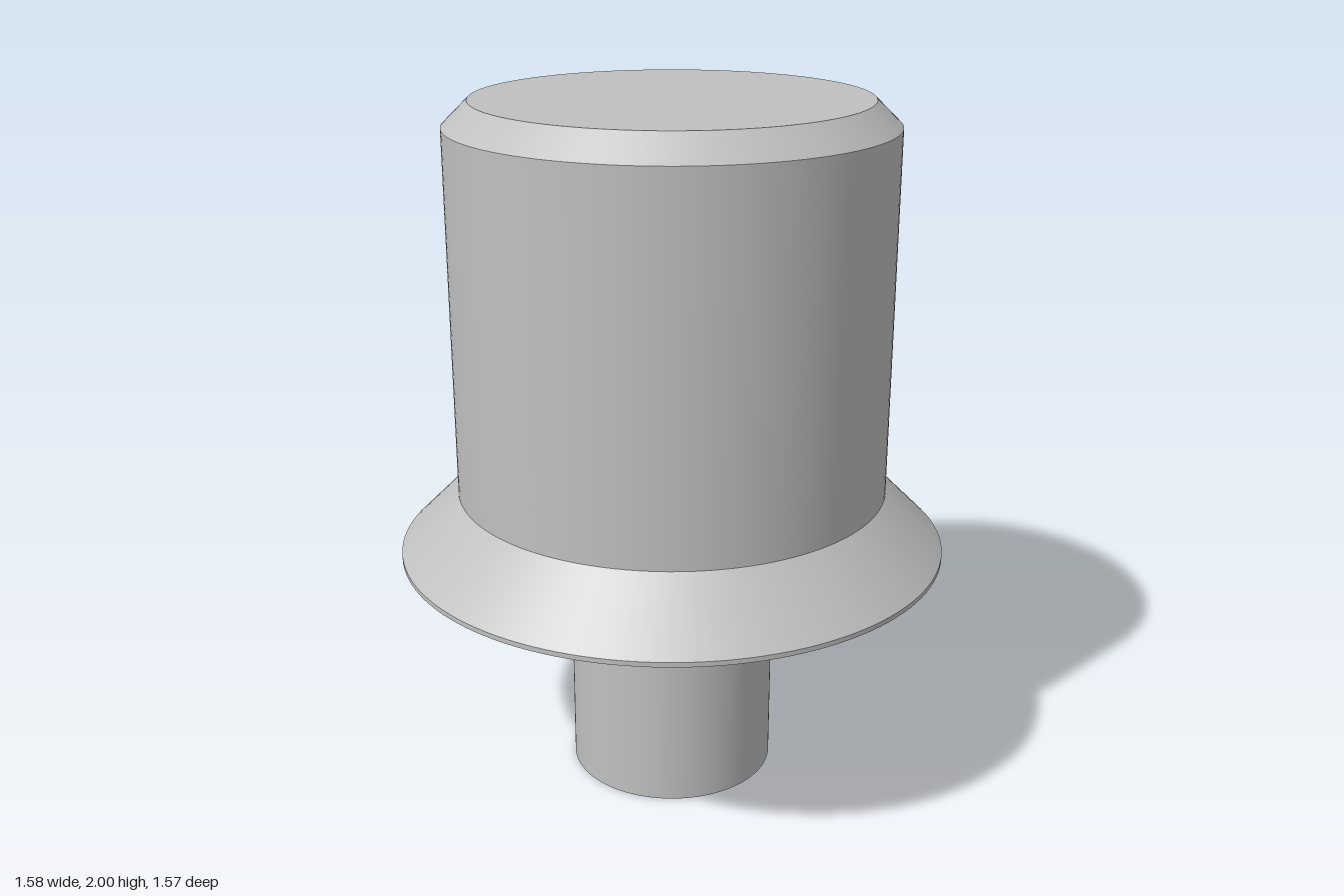
import * as THREE from 'three';
import { toCreasedNormals } from 'three/addons/utils/BufferGeometryUtils.js';

const FLANGE_R = 0.79, BODY_R = 0.62, STEM_R = 0.3;
const FLANGE_BOTTOM = 0.705, RIM_TOP = 0.719, CONE_TOP = RIM_TOP + FLANGE_R - BODY_R;
const FLAT_DIST = 0.732;                          // axis to the flat cut in the flange
const FLAT_ANGLE = Math.PI - 0.219;               // direction the flat faces
const FLAT_HALF = Math.acos(FLAT_DIST / FLANGE_R);

// Angles round the axis, with exact samples at both ends of the flat
const angles = [];
for (let i = 0; i < 24; i++) angles.push(-FLAT_HALF + (2 * FLAT_HALF * i) / 24);
for (let i = 0; i <= 120; i++) angles.push(FLAT_HALF + ((2 * Math.PI - 2 * FLAT_HALF) * i) / 120);

// Sweeps a profile of [radius, y] pairs (bottom to top), which may vary with the angle
function sweep(profileAt) {
  const rings = angles.map((a) => profileAt(a).map(([r, y]) =>
    [r * Math.sin(a + FLAT_ANGLE), y, r * Math.cos(a + FLAT_ANGLE), r]));
  const pos = [];
  const tri = (...pts) => pts.forEach((p) => pos.push(p[0], p[1], p[2]));
  for (let i = 0; i < rings.length - 1; i++) {
    for (let k = 0; k < rings[i].length - 1; k++) {
      const a = rings[i][k], b = rings[i + 1][k], c = rings[i + 1][k + 1], d = rings[i][k + 1];
      if (a[3] > 0) tri(a, b, c[3] > 0 ? c : d);
      if (c[3] > 0 && d[3] > 0) tri(a, c, d);
    }
  }
  const geo = new THREE.BufferGeometry();
  geo.setAttribute('position', new THREE.Float32BufferAttribute(pos, 3));
  return toCreasedNormals(geo, 0.25);
}

export function createModel() {
  const group = new THREE.Group();
  const steel = new THREE.MeshStandardMaterial({ color: 0xc0c0c0 });
  steel.name = 'plain steel';

  const add = (name, profileAt) => {
    const mesh = new THREE.Mesh(sweep(profileAt), steel);
    mesh.name = name;
    mesh.position.z = -0.0055;
    group.add(mesh);
  };

  // Mounting stem
  add('stem', () => [[0, 0], [STEM_R, 0], [STEM_R, FLANGE_BOTTOM]]);

  // Conical flange with one flat cut through its rim
  add('flange', (a) => {
    const cut = Math.cos(a) > 0 ? FLAT_DIST / Math.cos(a) : Infinity;
    const r = Math.min(FLANGE_R, cut);
    return [[STEM_R, FLANGE_BOTTOM], [r, FLANGE_BOTTOM], [r, RIM_TOP + FLANGE_R - r], [BODY_R, CONE_TOP]];
  });

  // Cylindrical head with a chamfered top
  add('head', () => [[BODY_R, CONE_TOP], [BODY_R, 1.93], [0.548, 2], [0, 2]]);

  return group;
}
